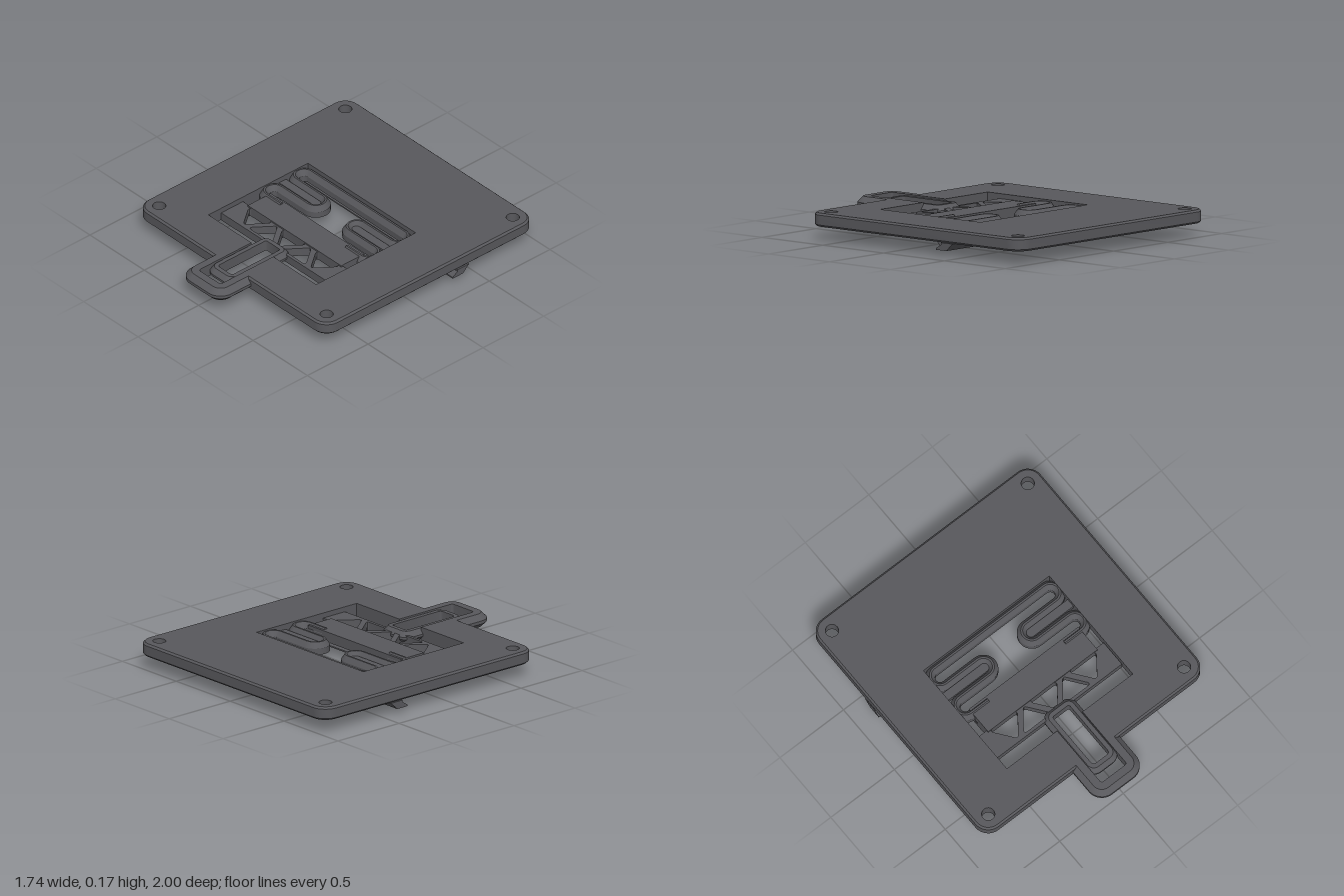
import * as THREE from 'three';
import { toCreasedNormals } from 'three/addons/utils/BufferGeometryUtils.js';

const V = (x, z) => new THREE.Vector2(x, z);

// Polyline through [x, z, radius] corners, each corner rounded by its radius
function roundPath(corners, closed = false, steps = 8) {
  const out = [], n = corners.length;
  corners.forEach(([x, z, r = 0], i) => {
    const p = V(x, z);
    if (!r || (!closed && (i === 0 || i === n - 1))) { out.push(p); return; }
    const a = corners[(i + n - 1) % n], b = corners[(i + 1) % n];
    const u = V(a[0], a[1]).sub(p).normalize().multiplyScalar(r);
    const v = V(b[0], b[1]).sub(p).normalize().multiplyScalar(r);
    for (let k = 0; k <= steps; k++) {
      const t = (k / steps) * Math.PI / 2;
      out.push(p.clone().addScaledVector(v, 1 - Math.cos(t)).addScaledVector(u, 1 - Math.sin(t)));
    }
  });
  return out.filter((p, i) => i === 0 || p.distanceTo(out[i - 1]) > 1e-5);
}

// Sweep a convex section of [sideways offset, height] along a flat path
function sweep(path, section, closed = false) {
  const n = path.length, m = section.length, pos = [];
  const dir = i => path[(i + 1) % n].clone().sub(path[i]).normalize();
  const rings = path.map((p, i) => {
    const d0 = !closed && i === 0 ? dir(0) : dir((i + n - 1) % n);
    const d1 = !closed && i === n - 1 ? d0 : dir(i);
    const t = d0.clone().add(d1).normalize();
    const s = 1 / Math.max(0.3, t.dot(d1));
    return section.map(([o, y]) => [p.x + t.y * o * s, y, p.y - t.x * o * s]);
  });
  const tri = (a, b, c) => pos.push(...a, ...b, ...c);
  for (let i = 0; i < (closed ? n : n - 1); i++) {
    const A = rings[i], B = rings[(i + 1) % n];
    for (let j = 0; j < m; j++) {
      const k = (j + 1) % m;
      tri(A[j], A[k], B[k]);
      tri(A[j], B[k], B[j]);
    }
  }
  if (!closed) for (let j = 1; j < m - 1; j++) {
    tri(rings[0][0], rings[0][j + 1], rings[0][j]);
    tri(rings[n - 1][0], rings[n - 1][j], rings[n - 1][j + 1]);
  }
  const g = new THREE.BufferGeometry();
  g.setAttribute('position', new THREE.Float32BufferAttribute(pos, 3));
  return toCreasedNormals(g, 0.5);
}

// Flat slab from an outline in x and z, hanging down from the top height
function slab(outline, holes, top, height) {
  const shape = new THREE.Shape(outline);
  shape.holes = holes.map(h => new THREE.Path(h));
  const g = new THREE.ExtrudeGeometry(shape, { depth: height, bevelEnabled: false });
  return toCreasedNormals(g.rotateX(Math.PI / 2).translate(0, top, 0), 0.5);
}

// Bar along x from a profile of [z, y]
function bar(profile, halfWidth, x = 0) {
  const shape = new THREE.Shape(profile.map(([z, y]) => V(z, y)));
  const g = new THREE.ExtrudeGeometry(shape, { depth: halfWidth * 2, bevelEnabled: false });
  return g.rotateY(-Math.PI / 2).translate(x + halfWidth, 0, 0);
}

const circle = (x, z, r, n, turn = 0) => Array.from({ length: n }, (_, i) => {
  const a = turn + i / n * Math.PI * 2;
  return V(x + r * Math.cos(a), z + r * Math.sin(a));
});

export function createModel() {
  const model = new THREE.Group();
  const mat = new THREE.MeshStandardMaterial({ color: 0x58585c });
  const add = (name, geometry) => {
    const mesh = new THREE.Mesh(geometry, mat);
    mesh.name = name;
    model.add(mesh);
  };
  const TOP = 0.17, BASE = 0.085, SKIN = 0.03;
  const box = (w, h, d, x, y, z) => new THREE.BoxGeometry(w, h, d).translate(x, y, z);

  // Plate: thin skin, chamfered outer rim and a wall round the window
  const edge = (i, x) => [
    [x, 0.735 - i], [0.87 - i, 0.735 - i, 0.1 - i], [0.87 - i, -1 + i, 0.1 - i],
    [-0.87 + i, -1 + i, 0.1 - i], [-0.87 + i, 0.735 - i, 0.1 - i], [-x, 0.735 - i]];
  const window_ = [[-0.1, 0.475], [-0.495, 0.475], [-0.495, -0.345],
    [0.495, -0.345], [0.495, 0.475], [0.1, 0.475]];
  const screws = [[0.77, -0.9], [-0.77, -0.9], [0.77, 0.635], [-0.77, 0.635]];
  const holes = screws.map(([x, z]) => circle(x, z, 0.041, 24));
  add('plateSkin', slab([...roundPath(edge(0.045, 0.1)), ...roundPath(window_)], holes, TOP, SKIN));
  add('plateRim', sweep(roundPath(edge(0, 0.15)), [[0.012, BASE], [0.045, BASE], [0.045, TOP],
    [0.012, TOP], [0, TOP - 0.012], [0, BASE + 0.012]]));
  add('windowWall', sweep(roundPath(window_), [[0, BASE], [0.04, BASE], [0.04, TOP], [0, TOP]]));

  // Screw bosses under the corners
  screws.forEach(([x, z], i) =>
    add('screwBoss', slab(circle(x, z, 0.075, 6), [holes[i]], TOP - SKIN, TOP - SKIN - BASE)));

  // Handle loop at the front, also lining the slot
  add('handleLoop', sweep(
    roundPath([[0.1, 0.475], [0.1, 0.91, 0.015], [-0.1, 0.91, 0.015], [-0.1, 0.475]]),
    [[0, BASE], [0.055, BASE], [0.085, 0.115], [0.085, 0.135], [0.05, TOP], [0, TOP]]));

  // Sloped ribs under the skin
  const rib = (x0, z0, x1, z1) => add('rib', sweep([V(x0, z0), V(x1, z1)],
    [[-0.012, BASE], [0.012, BASE], [0.03, 0.142], [-0.03, 0.142]]));
  rib(0, -0.97, 0, -0.44);
  for (const s of [1, -1]) {
    rib(0, -0.95, s * 0.45, -0.46);
    rib(s * 0.45, -0.46, s * 0.42, -0.97);
    rib(s * 0.45, -0.95, s * 0.84, -0.5);
    const side = [[0.84, -0.35], [0.52, -0.1], [0.84, 0.1], [0.52, 0.3], [0.84, 0.48], [0.52, 0.48],
      [0.7, 0.7], [0.4, 0.5], [0.38, 0.7], [0.16, 0.5]];
    for (let i = 0; i + 1 < side.length; i++)
      rib(s * side[i][0], side[i][1], s * side[i + 1][0], side[i + 1][1]);
  }

  // Fixed hook across the underside, with its root in the plate
  const hook = [[0.2, BASE], [0.15, 0.037], [0.065, 0.037], [0.065, 0.046], [0.105, 0.072], [0.105, BASE]];
  add('fixedHook', bar(hook.map(([z, y]) => [-0.25 - z, y]), 0.87));
  add('fixedHookRoot', box(1.7, 0.06, 0.1, 0, 0.115, -0.405));

  // Tapered rail stops and the tongues inside the spring bends
  for (const s of [1, -1]) {
    add('railStop', bar([[0.005, 0.1], [0.005, 0.05], [-0.05, 0], [-0.21, 0], [-0.26, 0.05], [-0.26, 0.1]],
      0.02, s * 0.515));
    const tongue = roundPath([[s * 0.5, -0.165], [s * 0.155, -0.165, 0.028],
      [s * 0.155, -0.108, 0.028], [s * 0.5, -0.108]]);
    add('springTongue', slab(tongue, [], 0.135, 0.035));
  }

  // Folded spring, one ridged strip per side
  const r = 0.0615, xo = 0.4935, xi = 0.128;
  const z = [-0.32, -0.198, -0.075, 0.048];
  for (const s of [1, -1]) {
    const path = roundPath([[0, z[0]], [s * xo, z[0], r], [s * xo, z[1], r - 0.001], [s * xi, z[1], r],
      [s * xi, z[2], r], [s * xo, z[2], r], [s * xo, z[3], r - 0.001], [s * 0.3, z[3]]]);
    add('spring', sweep(path, [[-0.03, BASE], [0.03, BASE], [0.03, 0.125],
      [0.006, 0.16], [-0.006, 0.16], [-0.03, 0.125]]));
  }

  // Slider: solid bar with moving hook, then a truss strip
  add('sliderBar', box(0.86, 0.065, 0.19, 0, 0.1175, 0.115));
  add('movingHook', bar(hook, 0.43));
  const triangles = [-0.31, -0.155, 0, 0.155, 0.31].map((x, i) => {
    const [a, b] = i % 2 ? [0.355, 0.21] : [0.21, 0.355];
    return roundPath([[x - 0.11, a, 0.025], [x + 0.11, a, 0.025], [x, b, 0.02]], true, 4);
  });
  add('sliderTruss', slab([V(-0.49, 0.195), V(0.49, 0.195), V(0.49, 0.375), V(-0.49, 0.375)],
    triangles, 0.14, 0.055));

  // Pull arm: a slotted loop with ridged sides running in the plate slot
  add('pullArm', sweep(
    roundPath([[0.065, 0.385, 0.012], [0.065, 0.785, 0.02], [-0.065, 0.785, 0.02], [-0.065, 0.385, 0.012]], true),
    [[0, 0.09], [0.03, 0.09], [0.055, 0.115], [0.055, 0.13], [0.028, 0.162], [0, 0.162]], true));

  return model;
}
